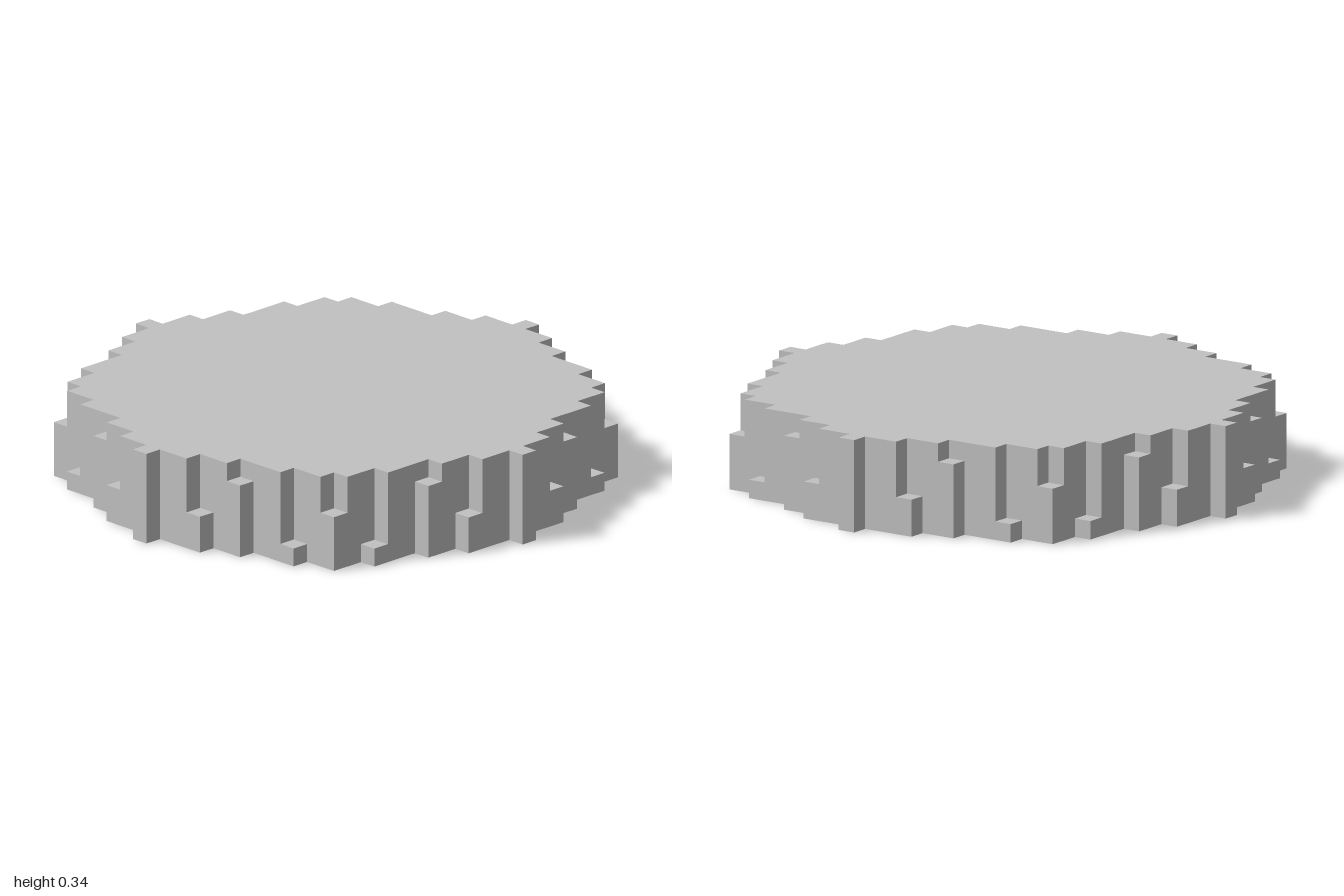
import * as THREE from 'three';

const U = 2 / 29; // one cell of the grid
const H = 5 * U; // full height

// Half-widths in cells of the full-height rows, from the middle row outwards
const REACH = [14, 13, 13, 12, 12, 11, 11, 11, 10, 10, 9, 7, 4, 2, 0];

// Short corner blocks as [column, row, height], repeated in all quadrants
const STEPS = [
  [3, 13, 2], [5, 12, 4], [8, 11, 1], [10, 10, 3],
  [11, 8, 1], [12, 5, 4], [13, 3, 2],
];

// Stepped outline of the disc, one quadrant turned four times
function discShape() {
  const quadrant = [];
  REACH.forEach((reach, row) => {
    const next = REACH[row + 1];
    if (reach === next) return;
    const x = reach + 0.5, y = row + 0.5;
    quadrant.push([x, y]); // outer corner
    if (next !== undefined) quadrant.push([next + 0.5, y]); // inner corner
  });
  const points = [];
  for (let q = 0; q < 4; q++) {
    for (const [x, y] of quadrant) {
      const [a, b] = [[x, y], [-y, x], [-x, -y], [y, -x]][q];
      points.push(new THREE.Vector2(a * U, b * U));
    }
  }
  return new THREE.Shape(points);
}

export function createModel() {
  const model = new THREE.Group();
  model.name = 'steppedDisc';
  const grey = new THREE.MeshStandardMaterial({ color: 0xc1c1c1 });
  grey.name = 'light grey';

  // Main disc at full height
  const discGeometry = new THREE.ExtrudeGeometry(discShape(), { depth: H, bevelEnabled: false });
  discGeometry.rotateX(-Math.PI / 2);
  const disc = new THREE.Mesh(discGeometry, grey);
  disc.name = 'disc';
  model.add(disc);

  // Lower blocks in the corners of the rim
  const rim = new THREE.Group();
  rim.name = 'rimBlocks';
  for (const [column, row, height] of STEPS) {
    const geometry = new THREE.BoxGeometry(U, height * U, U);
    for (const sx of [1, -1]) {
      for (const sz of [1, -1]) {
        const block = new THREE.Mesh(geometry, grey);
        block.name = 'rimBlock';
        block.position.set(sx * column * U, height * U / 2, sz * row * U);
        rim.add(block);
      }
    }
  }
  model.add(rim);
  return model;
}
